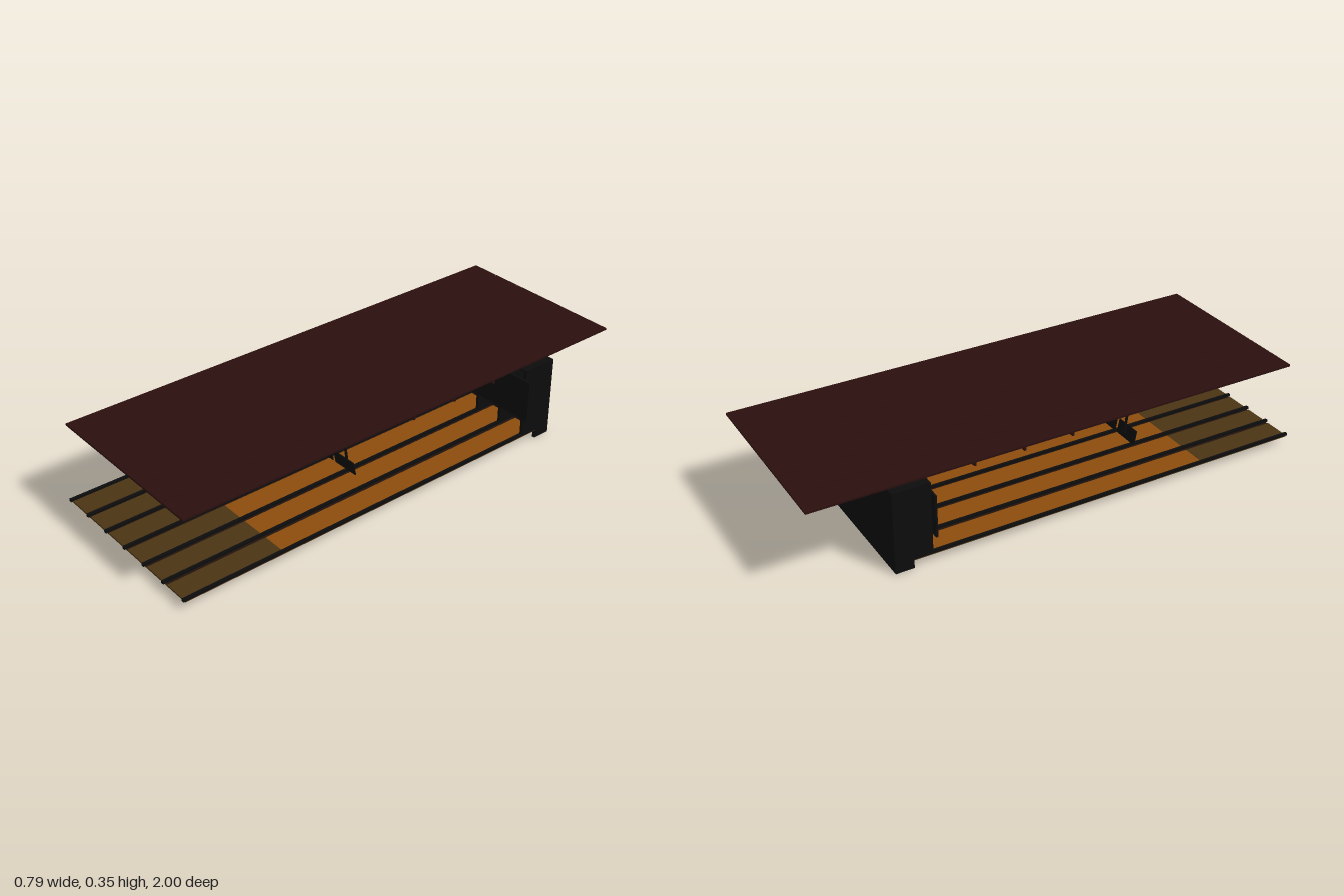
import * as THREE from 'three';

const mat = (color, side = THREE.FrontSide) => new THREE.MeshStandardMaterial({ color, side });

export function createModel() {
  const model = new THREE.Group();
  const black = mat(0x0c0c0c), brown = mat(0x4b3414), orange = mat(0x8c4c0c);
  const darkRed = mat(0x2a100f), gutterBrown = mat(0x21120c);
  const LANES = 6, PITCH = 0.1222, HALF = LANES * PITCH / 2;

  // Box given by its [min, max] range on each axis
  function box(name, material, [x0, x1], [y0, y1], [z0, z1], parent = model) {
    const mesh = new THREE.Mesh(new THREE.BoxGeometry(x1 - x0, y1 - y0, z1 - z0), material);
    mesh.position.set((x0 + x1) / 2, (y0 + y1) / 2, (z0 + z1) / 2);
    mesh.name = name;
    parent.add(mesh);
    return mesh;
  }

  // Floor slab with the dark gutter surface on top
  box('floorSlab', brown, [-HALF, HALF], [0.032, 0.035], [-0.63, 0.993]);
  box('gutterSurface', gutterBrown, [-HALF, HALF], [0.035, 0.036], [-0.63, 0.992]);

  for (let i = 0; i < LANES; i++) {
    const x = -HALF + (i + 0.5) * PITCH;
    const w = 0.046;

    // Playing lane and approach
    box('lane', orange, [x - w, x + w], [0.035, 0.039], [-0.63, 0.59]);
    box('approach', brown, [x - w, x + w], [0.035, 0.039], [0.59, 0.993]);

    // Ceiling panel with its cross battens
    const c = PITCH / 2 - 0.0018;
    box('ceilingPanel', darkRed, [x - c, x + c], [0.347, 0.355], [-1, 0.977]);
    for (const z of [0.005, -0.19, -0.385]) {
      box('ceilingBatten', darkRed, [x - c, x + c], [0.334, 0.348], [z - 0.004, z + 0.004]);
    }

    // Hanging score screen, tilted down towards the players
    const monitor = new THREE.Group();
    monitor.name = 'scoreMonitor';
    monitor.position.set(x, 0.349, 0.278);
    const pole = box('monitorPole', black, [-0.0035, 0.0035], [-0.11, 0], [-0.0035, 0.0035], monitor);
    pole.rotation.x = 0.13;
    pole.position.z = -0.007;
    const screen = box('monitorScreen', black, [-0.054, 0.054], [-0.137, -0.083], [-0.005, -0.001], monitor);
    screen.rotation.x = 0.2;
    model.add(monitor);
  }

  // L-shaped partition profile, extruded across x
  const profile = new THREE.Shape([
    [0.7, 0], [0.7, 0.325], [0.555, 0.325], [0.555, 0.04], [0.628, 0.04], [0.628, 0],
  ].map(([z, y]) => new THREE.Vector2(z, y)));
  const T = 0.012;
  const partition = new THREE.ExtrudeGeometry(profile, { depth: T, bevelEnabled: false });
  partition.rotateY(Math.PI / 2).translate(-T / 2, 0, 0);

  for (let i = 0; i <= LANES; i++) {
    const x = (-HALF + i * PITCH) * (1 - T / 2 / HALF);
    // Raised strip between gutters
    box('laneDivider', black, [x - T / 2, x + T / 2], [0.035, 0.045], [-0.63, 1]);
    // Wall between pin bays
    const wall = new THREE.Mesh(partition, black);
    wall.name = 'bayPartition';
    wall.position.x = x;
    model.add(wall);
  }

  // Pin machine housing
  box('machineBack', black, [-HALF, HALF], [0, 0.325], [-0.7, -0.69]);
  box('machineTop', black, [-HALF, HALF], [0.315, 0.325], [-0.7, -0.555]);
  box('maskingPanel', black, [-0.393, 0.393], [0.117, 0.285], [-0.555, -0.547]);

  return model;
}
